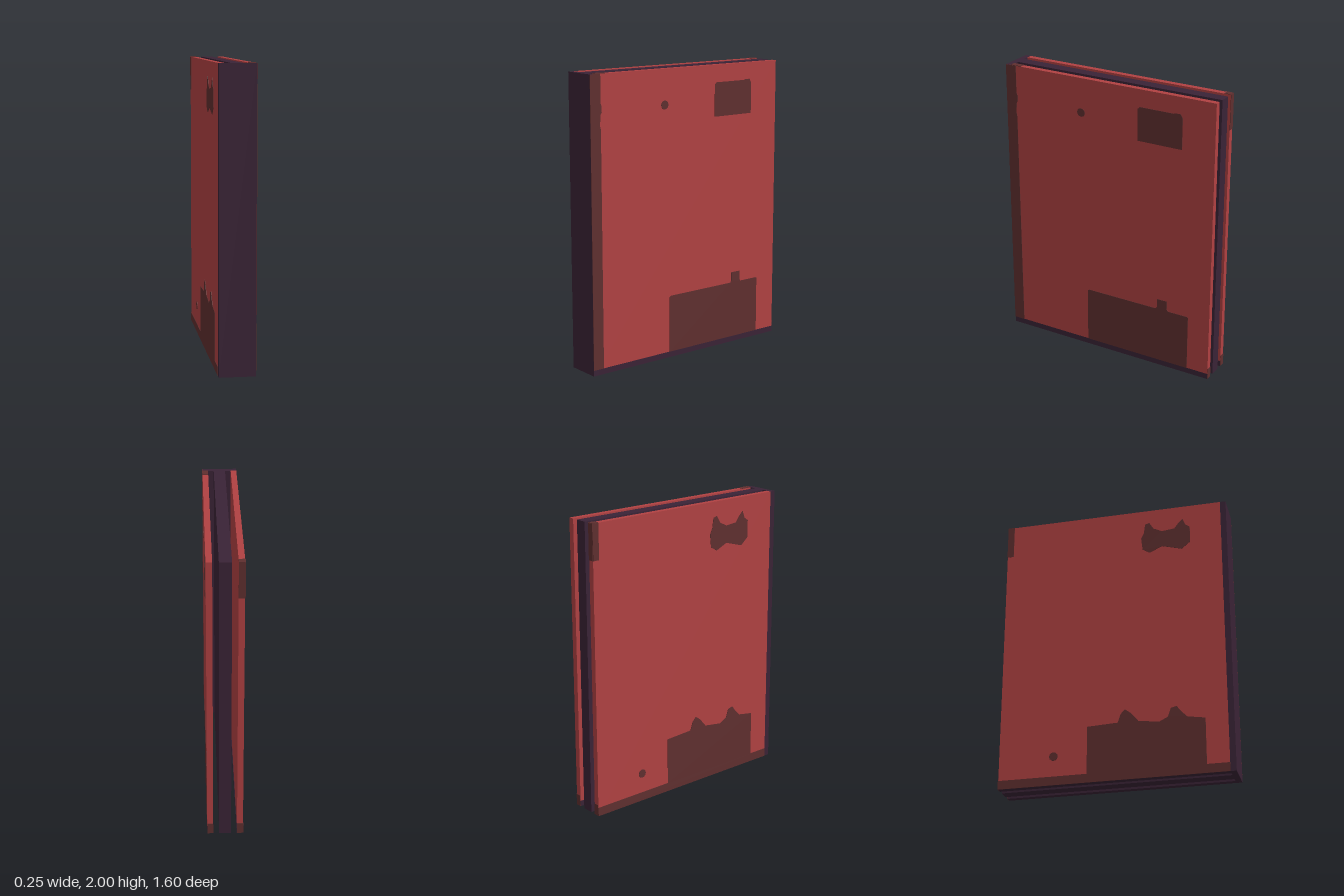
import * as THREE from 'three';

export function createModel() {
  const group = new THREE.Group();
  const mat = (name, color) => {
    const m = new THREE.MeshStandardMaterial({ color });
    m.name = name;
    return m;
  };
  const red = mat('red cover', 0xb04142);
  const brown = mat('dark brown marking', 0x5f2f2f);
  const purple = mat('dark purple core', 0x3a2336);
  const T = 0.003; // thickness of painted plates

  // Box given by its minimum and maximum corners
  const box = (name, material, [x0, y0, z0], [x1, y1, z1]) => {
    const mesh = new THREE.Mesh(new THREE.BoxGeometry(x1 - x0, y1 - y0, z1 - z0), material);
    mesh.position.set((x0 + x1) / 2, (y0 + y1) / 2, (z0 + z1) / 2);
    mesh.name = name;
    group.add(mesh);
  };

  // Thin plate on a side cover; outline points are [z, y], side is +1 or -1
  const plate = (name, material, side, points) => {
    const shape = new THREE.Shape(points.map(([z, y]) => new THREE.Vector2(-side * z, y)));
    const geo = new THREE.ExtrudeGeometry(shape, { depth: T, bevelEnabled: false });
    geo.rotateY(side * Math.PI / 2);
    geo.translate(side * 0.12, 0, 0);
    const mesh = new THREE.Mesh(geo, material);
    mesh.name = name;
    group.add(mesh);
  };
  const rect = (z0, y0, z1, y1) => [[z0, y0], [z1, y0], [z1, y1], [z0, y1]];
  const dot = (z, y, r) => Array.from({ length: 12 }, (_, i) => {
    const a = i * Math.PI / 6;
    return [z + r * Math.cos(a), y + r * Math.sin(a)];
  });

  // Spine, middle slab and the two covers
  box('spine', purple, [-0.12, 0, 0.76], [0.12, 2, 0.8]);
  box('middleSlab', purple, [-0.04, 0, -0.8], [0.04, 2, 0.76]);
  box('coverPlusX', red, [0.08, 0.04, -0.8], [0.12, 2, 0.76]);
  box('coverPlusXFoot', purple, [0.08, 0, -0.8], [0.12, 0.04, 0.76]);
  box('coverMinusX', red, [-0.12, 0.002, -0.8], [-0.08, 2, 0.76]);
  box('coverMinusXUnderside', purple, [-0.12, 0, -0.8], [-0.08, 0.002, 0.76]);
  box('innerFootStrip', purple, [-0.08, 0, -0.8], [-0.08 + T, 0.04, 0.76]);

  // Markings on the +x cover
  plate('spineBand', brown, 1, [
    [0.8, 0.04], [0.72, 0.04], [0.72, 1.64], [0.727, 1.67], [0.72, 1.74],
    [0.712, 1.75], [0.712, 1.79], [0.72, 1.81], [0.72, 2], [0.8, 2]]);
  plate('lowerMarking', brown, 1, [
    [0.16, 0.04], [-0.64, 0.04], [-0.64, 0.435], [-0.63, 0.44], [-0.485, 0.44],
    [-0.475, 0.455], [-0.475, 0.515], [-0.4, 0.515], [-0.4, 0.455], [-0.39, 0.44],
    [0.15, 0.44], [0.16, 0.43]]);
  plate('upperMarking', brown, 1, [
    [-0.235, 1.645], [-0.565, 1.645], [-0.565, 1.86], [-0.55, 1.885], [-0.515, 1.885],
    [-0.5, 1.88], [-0.25, 1.88], [-0.235, 1.865]]);
  plate('dot', brown, 1, dot(0.2, 1.76, 0.03));

  // Markings on the -x cover
  plate('footBand', brown, -1, rect(-0.8, 0, 0.76, 0.06));
  plate('cornerMarking', brown, -1, rect(-0.8, 1.76, -0.755, 2));
  plate('lowerMarking', brown, -1, [
    [-0.19, 0.06], [0.61, 0.06], [0.61, 0.38], [0.49, 0.4], [0.45, 0.44], [0.42, 0.48],
    [0.38, 0.47], [0.36, 0.41], [0.3, 0.38], [0.16, 0.4], [0.11, 0.46], [0.07, 0.49],
    [0.04, 0.46], [0.02, 0.4], [-0.19, 0.39]]);
  plate('upperMarking', brown, -1, [
    [0.2, 1.69], [0.25, 1.66], [0.34, 1.7], [0.48, 1.66], [0.54, 1.71], [0.54, 1.83],
    [0.51, 1.85], [0.49, 1.9], [0.46, 1.87], [0.43, 1.83], [0.34, 1.82], [0.28, 1.85],
    [0.25, 1.9], [0.22, 1.89], [0.21, 1.82], [0.19, 1.78]]);
  plate('dot', brown, -1, dot(-0.42, 0.2, 0.03));

  // Markings on the back and top edges
  for (const [x0, x1] of [[0.08, 0.12], [-0.12, -0.08]])
    box('backFootMarking', brown, [x0, 0.002, -0.8 - T], [x1, 0.08, -0.8]);
  box('backCornerMarking', brown, [-0.12, 1.76, -0.8 - T], [-0.08, 2, -0.8]);
  box('topBackMarking', brown, [-0.12, 2, -0.8], [-0.08, 2 + T, -0.755]);
  box('topFrontMarking', brown, [0.08, 2, 0.68], [0.12, 2 + T, 0.76]);

  return group;
}
